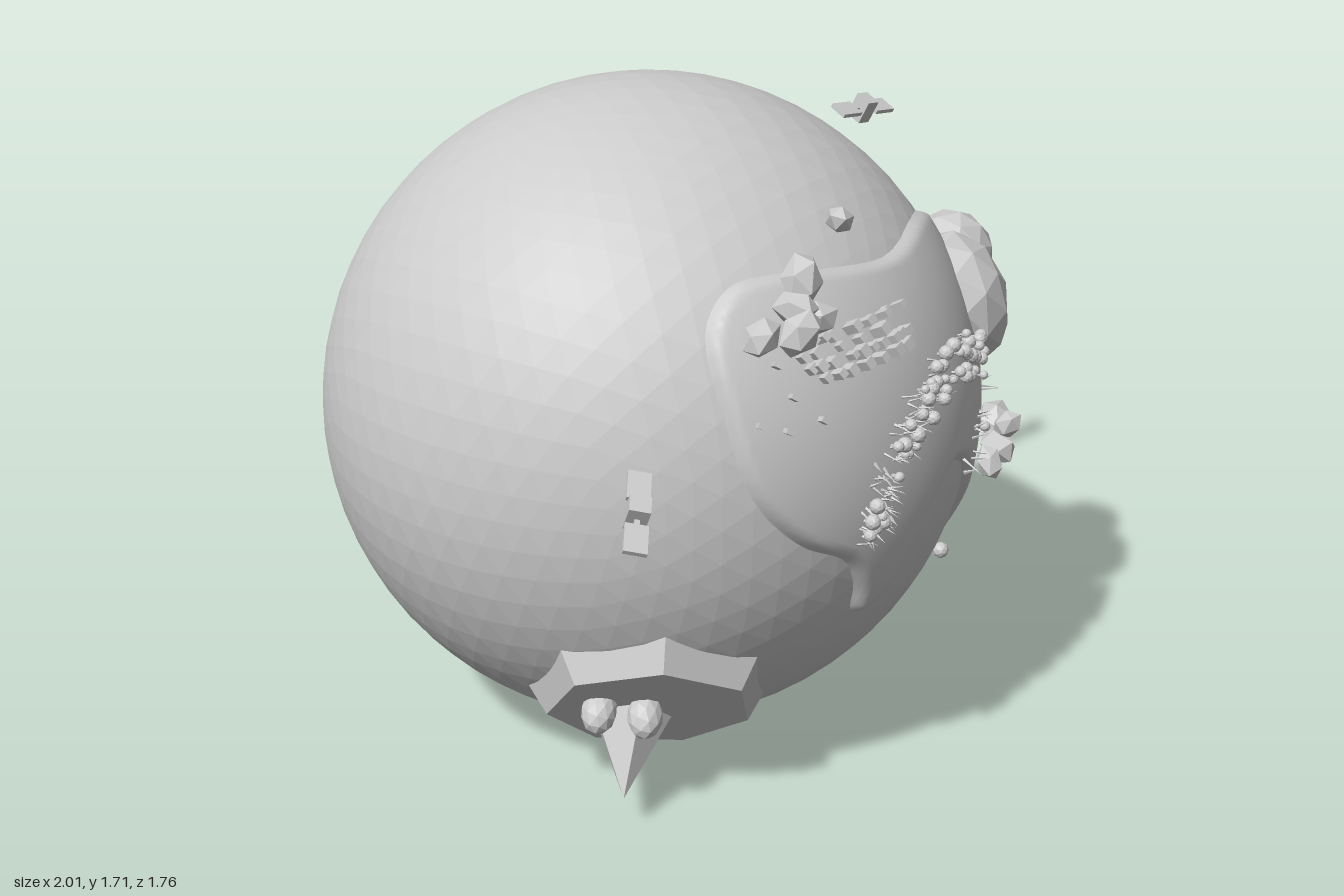
import * as THREE from 'three';
import { mergeVertices } from 'three/addons/utils/BufferGeometryUtils.js';

const R = 0.857, C = new THREE.Vector3(-0.09, R, -0.04), UP = new THREE.Vector3(0, 1, 0);
const V = (x, y, z) => new THREE.Vector3(x, y, z);
const flat = new THREE.MeshStandardMaterial({ color: 0xcccccc, flatShading: true });
const smooth = new THREE.MeshStandardMaterial({ color: 0xcccccc });
let seed = 7;
const rnd = (a = 0, b = 1) => {
  seed = (seed * 16807) % 2147483647;
  return a + (b - a) * (seed / 2147483647);
};

// Direction from the planet's centre to the front surface point seen at (x, y)
function frontDir(x, y) {
  const dx = x - C.x, dy = y - C.y;
  return V(dx, dy, Math.sqrt(Math.max(0, R * R - dx * dx - dy * dy))).normalize();
}
// Direction to the side (+x) surface point seen at (z, y)
function sideDir(z, y) {
  const dz = z - C.z, dy = y - C.y;
  return V(Math.sqrt(Math.max(0, R * R - dz * dz - dy * dy)), dy, dz).normalize();
}

// Continent: a raised plate with rounded shores, its outline drawn on the sphere
function landGeometry() {
  const outline = [
    [-0.5, 1.385], [-0.4, 1.4], [-0.22, 1.385], [-0.05, 1.37], [0.2, 1.385], [0.42, 1.33],
  ].map(p => frontDir(...p)).concat([
    [0.3, 1.16], [0.15, 1.01], [0.03, 0.88], [-0.08, 0.82], [-0.2, 0.795], [-0.25, 0.73], [-0.2, 0.67],
    [-0.04, 0.635], [0.08, 0.54], [0.1, 0.42], [0.09, 0.28], [0.2, 0.19],
  ].map(p => sideDir(...p)), [
    [0.3, 0.155], [0.07, 0.165], [0.13, 0.22], [0.23, 0.31], [0.29, 0.42], [0.29, 0.53], [0.23, 0.67], [0.14, 0.79],
    [0.02, 0.84], [-0.08, 0.78], [-0.15, 0.63], [-0.22, 0.55], [-0.29, 0.53], [-0.32, 0.62], [-0.37, 0.71],
    [-0.5, 0.79], [-0.6, 0.92], [-0.625, 1.1], [-0.59, 1.3],
  ].map(p => frontDir(...p)));

  const mid = V(0.4, 0, 0.92).normalize(), ex = V(0.92, 0, -0.4).normalize();
  const project = d => {
    const t = Math.acos(THREE.MathUtils.clamp(d.dot(mid), -1, 1));
    const a = Math.atan2(d.y, d.dot(ex));
    return [t * Math.cos(a), t * Math.sin(a)];
  };
  const poly = new THREE.CatmullRomCurve3(outline, true).getPoints(150).map(p => project(p.normalize()));
  const shoreDistance = ([x, y]) => {
    let best = 9, inside = false;
    for (let i = 1; i < poly.length; i++) {
      const [ax, ay] = poly[i - 1], [bx, by] = poly[i];
      const ux = bx - ax, uy = by - ay;
      const t = THREE.MathUtils.clamp(((x - ax) * ux + (y - ay) * uy) / (ux * ux + uy * uy || 1), 0, 1);
      best = Math.min(best, Math.hypot(x - ax - ux * t, y - ay - uy * t));
      if ((ay > y) !== (by > y) && x < ax + ((y - ay) / uy) * ux) inside = !inside;
    }
    return inside ? best : -best;
  };

  let g = new THREE.IcosahedronGeometry(1, 64);
  g.deleteAttribute('normal');
  g.deleteAttribute('uv');
  g = mergeVertices(g, 1e-5);
  const pos = g.attributes.position, dist = [], v = V();
  for (let i = 0; i < pos.count; i++) {
    v.fromBufferAttribute(pos, i).normalize();
    dist[i] = v.dot(mid) < -0.2 ? -1 : shoreDistance(project(v));
    v.multiplyScalar(R - 0.014 + 0.036 * THREE.MathUtils.smoothstep(dist[i], -0.025, 0.035));
    pos.setXYZ(i, v.x, v.y, v.z);
  }
  const kept = [], idx = g.index.array;
  for (let i = 0; i < idx.length; i += 3) {
    const tri = [idx[i], idx[i + 1], idx[i + 2]];
    if (tri.some(k => dist[k] > -0.03)) kept.push(...tri);
  }
  g.setIndex(kept);
  g.computeVertexNormals();
  return g;
}

export function createModel() {
  const model = new THREE.Group();
  const group = (name, parent = model) => {
    const g = new THREE.Group();
    g.name = name;
    parent.add(g);
    return g;
  };
  const add = (parent, name, geo, p, s = [1, 1, 1], mat = flat) => {
    const m = new THREE.Mesh(geo, mat);
    m.name = name;
    m.position.copy(p);
    m.scale.set(...s);
    parent.add(m);
    return m;
  };
  // Stands a part on the globe with its y axis pointing outward
  const plant = (parent, name, geo, dir, h, s, spin = 0) => {
    const m = add(parent, name, geo, dir.clone().multiplyScalar(R + h).add(C), s);
    m.quaternion.setFromUnitVectors(UP, dir);
    m.rotateY(spin);
    return m;
  };
  const rock = new THREE.IcosahedronGeometry(1, 0), boulder = new THREE.IcosahedronGeometry(1, 1);
  const box = new THREE.BoxGeometry(1, 1, 1), spike = new THREE.ConeGeometry(1, 1, 4);
  const crown = new THREE.IcosahedronGeometry(1, 1), trunk = new THREE.CylinderGeometry(1, 1, 1, 5);

  // Planet
  add(model, 'ocean', new THREE.IcosahedronGeometry(R, 11), C, [1, 1, 1], flat);
  add(model, 'continent', landGeometry(), C, [1, 1, 1], smooth);

  // Mountains
  const mountains = group('mountains');
  [[0.41, 1.12, 0.6, 0.185, 0.135], [0.54, 1.19, 0.5, 0.118, 0.12], [0.575, 0.985, 0.5, 0.075, 0.07]]
    .forEach(([x, y, z, r, h], i) => {
      const d = V(x, y, z).sub(C), k = d.length();
      plant(mountains, 'mountain', boulder, d.normalize(), k - R, [r, h, r], i);
    });

  // Ice shelf with its peak and boulders
  const ice = group('iceShelf');
  const pole = V(-0.6, -0.65, 0.45).normalize();
  plant(ice, 'iceSlab', new THREE.CylinderGeometry(0.26, 0.32, 0.1, 7), pole, -0.03, [1, 1, 1], 0.3);
  const peak = V(-0.61, -0.7, 0.38).normalize();
  plant(ice, 'icePeak', new THREE.ConeGeometry(0.12, 0.24, 5), peak, 0.11, [1, 1, 1], 0.5);
  for (const [x, y] of [[-0.7, 0.34], [-0.635, 0.325]])
    plant(ice, 'iceBoulder', boulder, frontDir(x, y), 0.05, [0.045, 0.06, 0.045]);

  // Clouds floating above the ground: x, y, z, size
  const clouds = group('clouds');
  [[-0.62, 1.34, 0.67, 0.05], [-0.57, 1.35, 0.74, 0.055], [-0.53, 1.39, 0.7, 0.05], [-0.46, 1.43, 0.67, 0.06],
    [-0.49, 1.36, 0.73, 0.05], [-0.23, 1.505, 0.625, 0.042], [0.34, 0.715, 0.76, 0.045], [0.43, 0.79, 0.76, 0.045],
    [0.42, 0.73, 0.74, 0.06], [0.53, 0.75, 0.67, 0.06], [0.695, 0.725, 0.455, 0.045]]
    .forEach(([x, y, z, r], i) => {
      const m = add(clouds, 'cloud', rock, V(x, y, z), [r * 1.15, r * 0.8, r * 0.85]);
      m.rotation.set(i * 1.3, i * 0.7, 0.5);
    });
  plant(model, 'tent', new THREE.ConeGeometry(0.06, 0.08, 8), V(0.69, -0.3, 0.47).normalize(), 0.045);

  // Town: rows of small blocks
  const town = group('town');
  for (let row = 0; row < 4; row++)
    for (let i = 0; i < 11; i++) {
      if (rnd() < 0.25) continue;
      const s = rnd(0.016, 0.028), h = rnd(0.02, 0.045);
      const x = -0.44 + i * 0.029 + rnd(-0.008, 0.008), y = 1.175 + row * 0.026 + i * 0.002;
      plant(town, 'house', box, frontDir(x, y), 0.022 + h / 2, [s, h, s], 0.2);
    }
  for (const [x, y] of [[-0.5, 1.22], [-0.57, 1.1], [-0.52, 1.08], [-0.44, 1.09], [-0.49, 1.15]])
    plant(town, 'hut', box, frontDir(x, y), 0.03, [0.012, 0.025, 0.02], 0.5);

  // Trees and grass
  const forest = group('forest');
  const tree = (d, r) => {
    plant(forest, 'trunk', trunk, d, 0.03, [r * 0.25, 0.03, r * 0.25]);
    plant(forest, 'crown', crown, d, 0.045, [r, r, r]);
  };
  const grass = d => {
    const lean = d.clone().add(V(rnd(-0.5, 0.5), rnd(-0.5, 0.5), rnd(-0.3, 0.3))).normalize();
    const m = plant(forest, 'grass', spike, d, 0.035, [0.005, rnd(0.04, 0.075), 0.005]);
    m.quaternion.setFromUnitVectors(UP, lean);
  };
  const arc = new THREE.CatmullRomCurve3([V(-0.34, 0.78, 0), V(-0.28, 0.92, 0), V(-0.18, 1.03, 0),
    V(-0.05, 1.1, 0), V(0.1, 1.09, 0), V(0.23, 1.05, 0)]);
  for (let i = 0; i < 110; i++) {
    const t = rnd(), p = arc.getPoint(t);
    const d = frontDir(p.x + rnd(-0.04, 0.04), p.y + rnd(-0.05, 0.05));
    if (rnd() < 0.25 + t * 0.65) tree(d, rnd(0.011, 0.02));
    else grass(d);
    if (t < 0.45) grass(frontDir(p.x + rnd(-0.05, 0.05), p.y + rnd(-0.05, 0.05)));
  }
  for (let i = 0; i < 34; i++) {
    const d = frontDir(0.4 + rnd(-0.09, 0.09), 0.28 + rnd(-0.06, 0.06));
    if (i % 2) tree(d, rnd(0.012, 0.018));
    else grass(d);
  }
  for (const [x, y] of [[0.17, 0.88], [0.36, 0.9], [0.14, 0.8], [0.21, 0.89]])
    for (let i = 0; i < 4; i++) grass(frontDir(x + rnd(-0.03, 0.03), y + rnd(-0.02, 0.02)));
  tree(frontDir(0.3, 0.45), 0.022);
  tree(frontDir(0.18, 0.88), 0.014);
  tree(sideDir(0.15, 0.775), 0.02);
  for (const [z, y] of [[0.03, 0.7], [-0.02, 0.7], [-0.03, 0.78], [0.22, 0.92], [0.24, 0.77], [0.2, 0.8]])
    plant(forest, 'shrub', rock, sideDir(z, y), 0.03, [0.009, 0.018, 0.009]);

  // Satellites: body, dish arm and two panels along local x
  const satellite = (p, axis, tilt) => {
    const s = group('satellite');
    s.position.copy(p);
    s.quaternion.setFromUnitVectors(V(1, 0, 0), axis.normalize());
    s.rotateX(tilt);
    add(s, 'body', box, V(0, 0, 0), [0.045, 0.07, 0.05]);
    add(s, 'arm', box, V(0, 0, 0), [0.1, 0.012, 0.012]);
    for (const side of [-1, 1]) add(s, 'panel', box, V(side * 0.074, 0, 0), [0.078, 0.012, 0.055]);
  };
  satellite(V(0.885, 1.44, 0.01), V(0.22, -0.025, 0.03), 0.45);
  satellite(V(-0.91, 0.985, 0.54), V(0.18, 0.11, -0.12), 0.4);
  return model;
}
